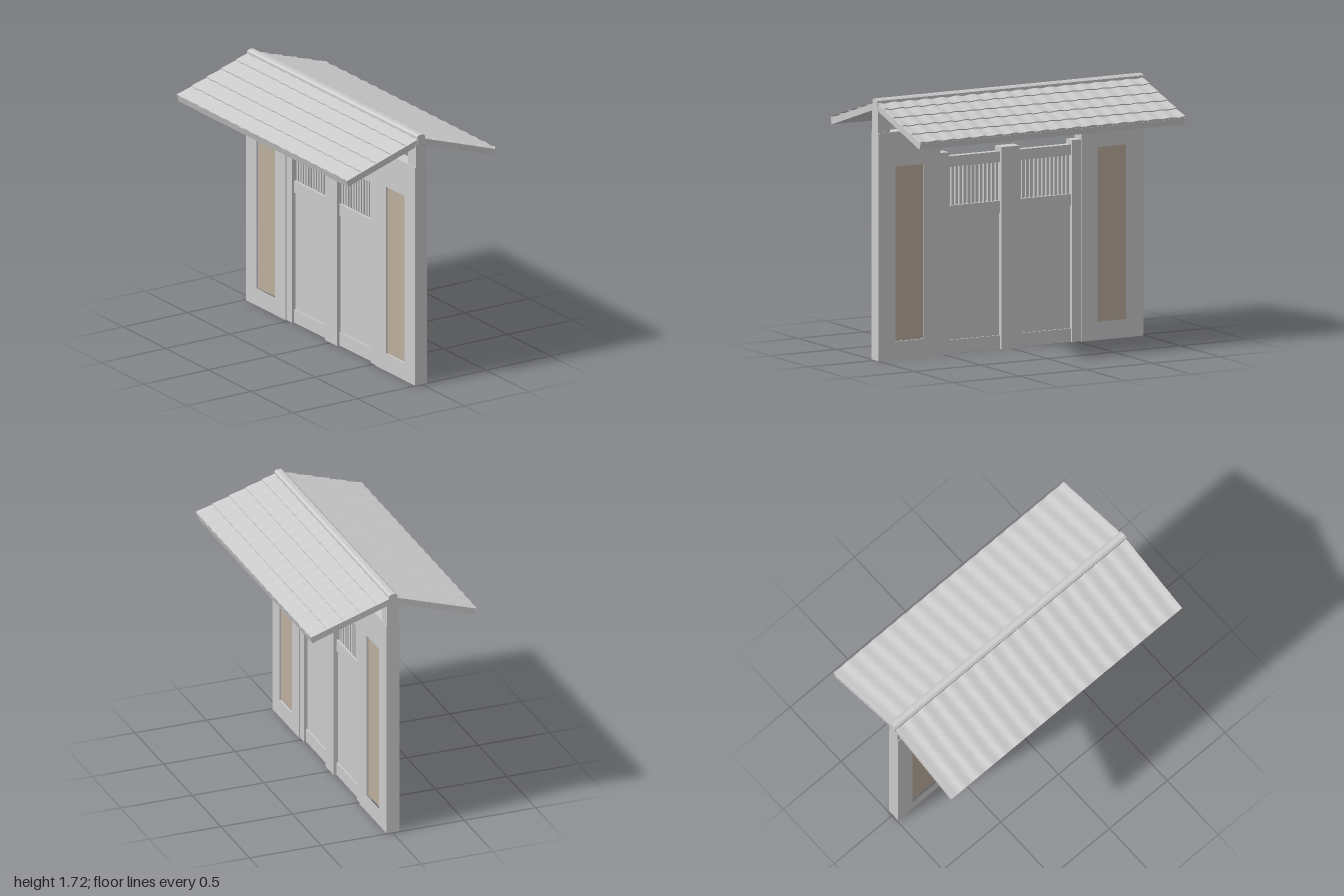
import * as THREE from 'three';

const CX = -0.005; // middle plane of the wall and roof
const CZ = 0.004;
const grey = new THREE.MeshStandardMaterial({ color: 0xcccccc });
const tileGrey = new THREE.MeshStandardMaterial({ color: 0xcccccc, side: THREE.DoubleSide });
const tan = new THREE.MeshStandardMaterial({ color: 0xbcae9e });

function add(parent, name, geometry, material = grey) {
  const mesh = new THREE.Mesh(geometry, material);
  mesh.name = name;
  parent.add(mesh);
  return mesh;
}

// Box of thickness t in x, spanning z0..z1 and y0..y1
function slab(parent, name, t, z0, z1, y0, y1, material) {
  const mesh = add(parent, name, new THREE.BoxGeometry(t, y1 - y0, Math.abs(z1 - z0)), material);
  mesh.position.set(CX, (y0 + y1) / 2, (z0 + z1) / 2 + CZ);
  return mesh;
}

// Rectangle path in (z, y)
function rect(path, z0, z1, y0, y1) {
  path.moveTo(z0, y0);
  path.lineTo(z1, y0);
  path.lineTo(z1, y1);
  path.lineTo(z0, y1);
  path.closePath();
  return path;
}

// Profile in (x, y) extruded along z
function alongZ(points, length) {
  const shape = new THREE.Shape(points.map(([x, y]) => new THREE.Vector2(x, y)));
  const geometry = new THREE.ExtrudeGeometry(shape, { depth: length, bevelEnabled: false });
  return geometry.translate(0, 0, -length / 2);
}

// One course of wavy tiles: upper edge, raised lower edge and a lip down to the roof
function tileCourse(start, end, length) {
  const waves = 17, n = waves * 8, position = [], index = [];
  const lines = [[start, 0.001], [end, 0.008], [end, 0.008], [end, -0.004]];
  lines.forEach(([along, lift], k) => {
    for (let i = 0; i <= n; i++) {
      const wave = k === 3 ? 0 : 0.003 * (1 + Math.cos((i / n) * waves * Math.PI * 2));
      position.push(along, lift + wave, (i / n - 0.5) * length);
    }
  });
  for (const k of [0, 2]) {
    for (let i = 0; i < n; i++) {
      const a = k * (n + 1) + i, b = a + n + 1;
      index.push(a, a + 1, b, a + 1, b + 1, b);
    }
  }
  const geometry = new THREE.BufferGeometry();
  geometry.setAttribute('position', new THREE.Float32BufferAttribute(position, 3));
  geometry.setIndex(index);
  geometry.computeVertexNormals();
  return geometry;
}

function buildDoor(parent, side) {
  const door = new THREE.Group();
  door.name = side > 0 ? 'leftDoor' : 'rightDoor';
  parent.add(door);
  const z0 = side * 0.068, z1 = side * 0.463;
  slab(door, 'doorPanel', 0.026, z0, z1, 0.08, 0.9);
  slab(door, 'bottomRail', 0.045, z0, z1, 0, 0.09);
  slab(door, 'middleRail', 0.045, z0, z1, 0.895, 0.975);
  slab(door, 'topRail', 0.045, z0, z1, 1.23, 1.3);
  // Upright bars of the grille
  const bars = 13, step = 0.395 / bars;
  for (let i = 0; i < bars; i++) {
    const z = side * (0.068 + (i + 0.5) * step);
    slab(door, 'grilleBar', 0.018, z - 0.0085, z + 0.0085, 0.97, 1.235);
  }
}

function buildWall(parent, side) {
  // Wall with an opening, filled by a recessed coloured panel
  const shape = rect(new THREE.Shape(), side * 0.53, side * 0.995, 0, 1.375);
  shape.holes.push(rect(new THREE.Path(), side * 0.652, side * 0.869, 0.12, 1.27));
  const geometry = new THREE.ExtrudeGeometry(shape, { depth: 0.09, bevelEnabled: false });
  geometry.rotateY(-Math.PI / 2).translate(0.045 + CX, 0, CZ);
  add(parent, 'sideWall', geometry);
  slab(parent, 'wallPanel', 0.066, side * 0.65, side * 0.871, 0.118, 1.272, tan);
  slab(parent, 'doorPost', 0.075, side * 0.463, side * 0.53, 0, 1.33);
}

function buildRoof(parent) {
  const roof = new THREE.Group();
  roof.name = 'roof';
  parent.add(roof);
  const length = 1.99;

  // Boards under the tiles
  const boards = alongZ([
    [-0.57, 1.47], [-0.045, 1.64], [0.035, 1.64], [0.56, 1.467],
    [0.573, 1.508], [CX, 1.697], [-0.583, 1.511],
  ], length);
  add(roof, 'roofBoards', boards);

  // Overlapping tile courses on both slopes
  const courses = 5, run = 0.607 / courses, pitch = Math.atan2(0.188, 0.578);
  for (const side of [1, -1]) {
    const slope = new THREE.Group();
    slope.name = side > 0 ? 'leftTiles' : 'rightTiles';
    slope.position.set(CX, 1.697, 0);
    slope.rotation.set(0, side > 0 ? 0 : Math.PI, 0);
    const tilt = new THREE.Group();
    tilt.name = 'tileSlope';
    tilt.rotation.z = -pitch;
    slope.add(tilt);
    for (let i = 0; i < courses; i++) {
      add(tilt, 'tileCourse', tileCourse(i * run, (i + 1) * run, length), tileGrey);
    }
    roof.add(slope);
  }

  // Ridge cap
  add(roof, 'ridgeCap', alongZ([
    [-0.035, 1.66], [0.025, 1.66], [0.025, 1.71], [0.01, 1.721], [-0.02, 1.721], [-0.035, 1.71],
  ], 2));
}

export function createModel() {
  const model = new THREE.Group();
  model.name = 'roofedGate';

  for (const side of [1, -1]) {
    buildWall(model, side);
    buildDoor(model, side);
  }
  slab(model, 'centrePost', 0.085, -0.07, 0.07, 0, 1.33);
  slab(model, 'lintel', 0.09, -0.995, 0.995, 1.375, 1.5);

  // Short posts carrying the roof
  for (const z of [-0.95, -0.285, 0.285, 0.95]) {
    slab(model, 'roofPost', 0.08, z - 0.045, z + 0.045, 1.5, 1.66);
  }
  buildRoof(model);
  return model;
}
